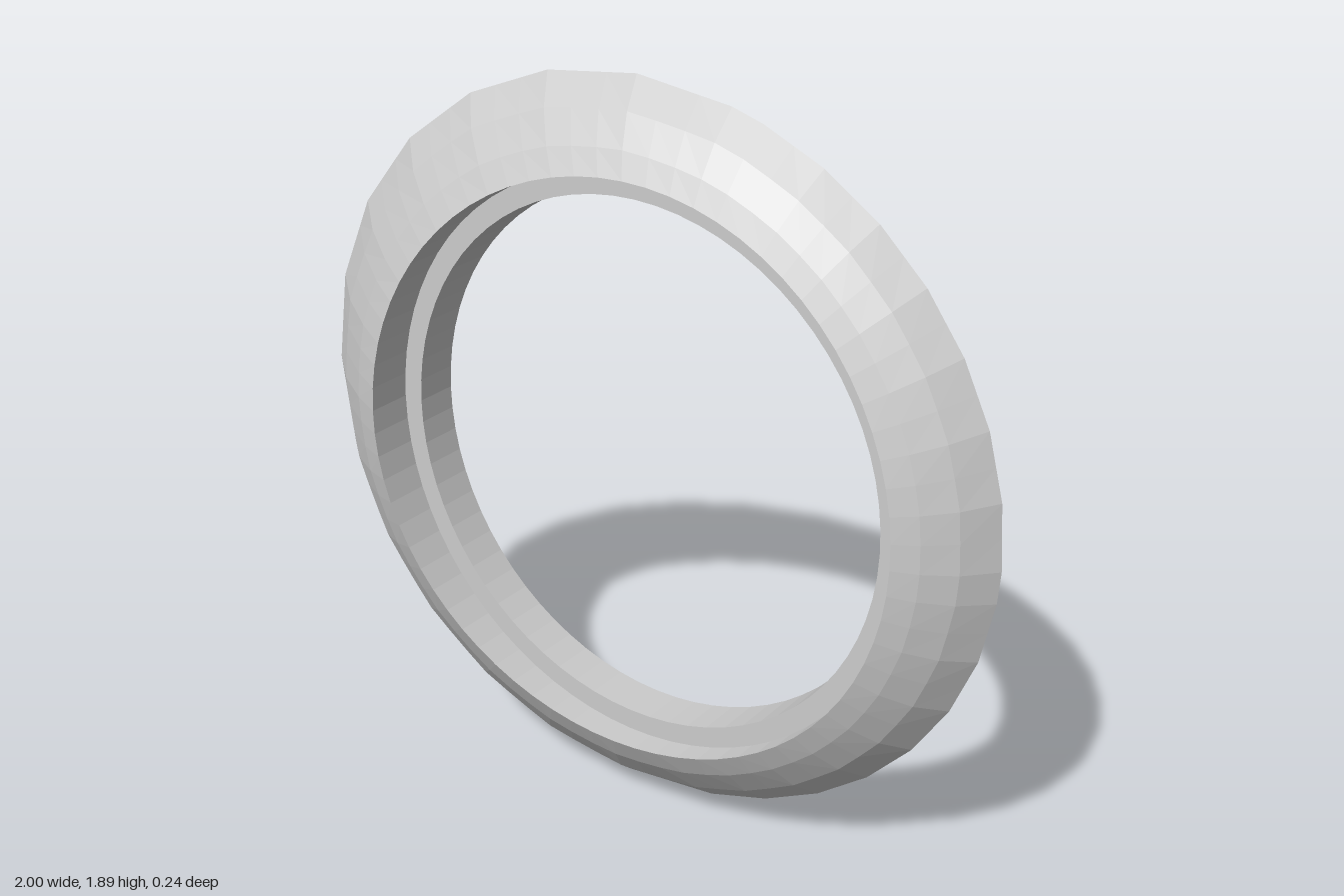
import * as THREE from 'three';

const N = 72;            // steps around the ring
const BACK = -0.12;      // flat back plane
const LEDGE = -0.005;    // seat of the inner step
const CX = 0.08, CY = 0.96; // centre of the offset opening

// Outer edge: an ellipse, coarser on the -x side
function outer(j) {
  const at = (k) => {
    const a = (k / N) * Math.PI * 2;
    return new THREE.Vector3(Math.cos(a), 0.945 + 0.945 * Math.sin(a), BACK);
  };
  const step = j >= 15 && j < 57 ? 3 : 2;
  const start = step === 3 ? j - (j % 3) : j < 15 ? Math.floor(j / 2) * 2 : 57 + Math.floor((j - 57) / 2) * 2;
  const end = j < 15 ? Math.min(start + 2, 15) : Math.min(start + step, N);
  return at(start).lerp(at(end), (j - start) / (end - start));
}

// Circle around the opening
function inner(j, r, z) {
  const a = (j / N) * Math.PI * 2;
  return new THREE.Vector3(CX + r * Math.cos(a), CY + r * Math.sin(a), z);
}

// Front lip, raised highest on the wide side
function lip(j) {
  const a = (j / N) * Math.PI * 2;
  return inner(j, 0.735, 0.07 - 0.035 * Math.cos(a) - 0.0125 * Math.sin(a) + 0.0137 * Math.cos(2 * a));
}

// Point on the gently bulged bevel
function bevel(j, t, bulge) {
  const a = (j / N) * Math.PI * 2;
  const p = outer(j).lerp(lip(j), t);
  return p.add(new THREE.Vector3(Math.cos(a) * bulge, Math.sin(a) * bulge, bulge));
}

// Joins rings of points into a faceted band
function band(name, rings) {
  const pos = [], idx = [];
  for (const ring of rings)
    for (let j = 0; j < N; j++) pos.push(...ring(j).toArray());
  for (let i = 0; i < rings.length - 1; i++)
    for (let j = 0; j < N; j++) {
      const k = (j + 1) % N;
      const a = i * N + j, b = i * N + k, c = a + N, d = b + N;
      idx.push(a, b, c, b, d, c);
    }
  let geo = new THREE.BufferGeometry();
  geo.setAttribute('position', new THREE.Float32BufferAttribute(pos, 3));
  geo.setIndex(idx);
  geo = geo.toNonIndexed();
  geo.computeVertexNormals();
  const mesh = new THREE.Mesh(geo, new THREE.MeshStandardMaterial({ color: 0xcccccc, flatShading: true }));
  mesh.name = name;
  return mesh;
}

export function createModel() {
  const group = new THREE.Group();
  group.name = 'bezelRing';
  const holeBack = (j) => inner(j, 0.68, BACK);
  const ledgeIn = (j) => inner(j, 0.68, LEDGE);
  const ledgeOut = (j) => inner(j, 0.735, LEDGE);
  group.add(
    band('backFace', [holeBack, outer]),
    band('frontBevel', [outer, (j) => bevel(j, 0.4, 0.014), (j) => bevel(j, 0.75, 0.011), lip]),
    band('recessWall', [lip, ledgeOut]),
    band('recessLedge', [ledgeOut, ledgeIn]),
    band('holeWall', [ledgeIn, holeBack]),
  );
  return group;
}
